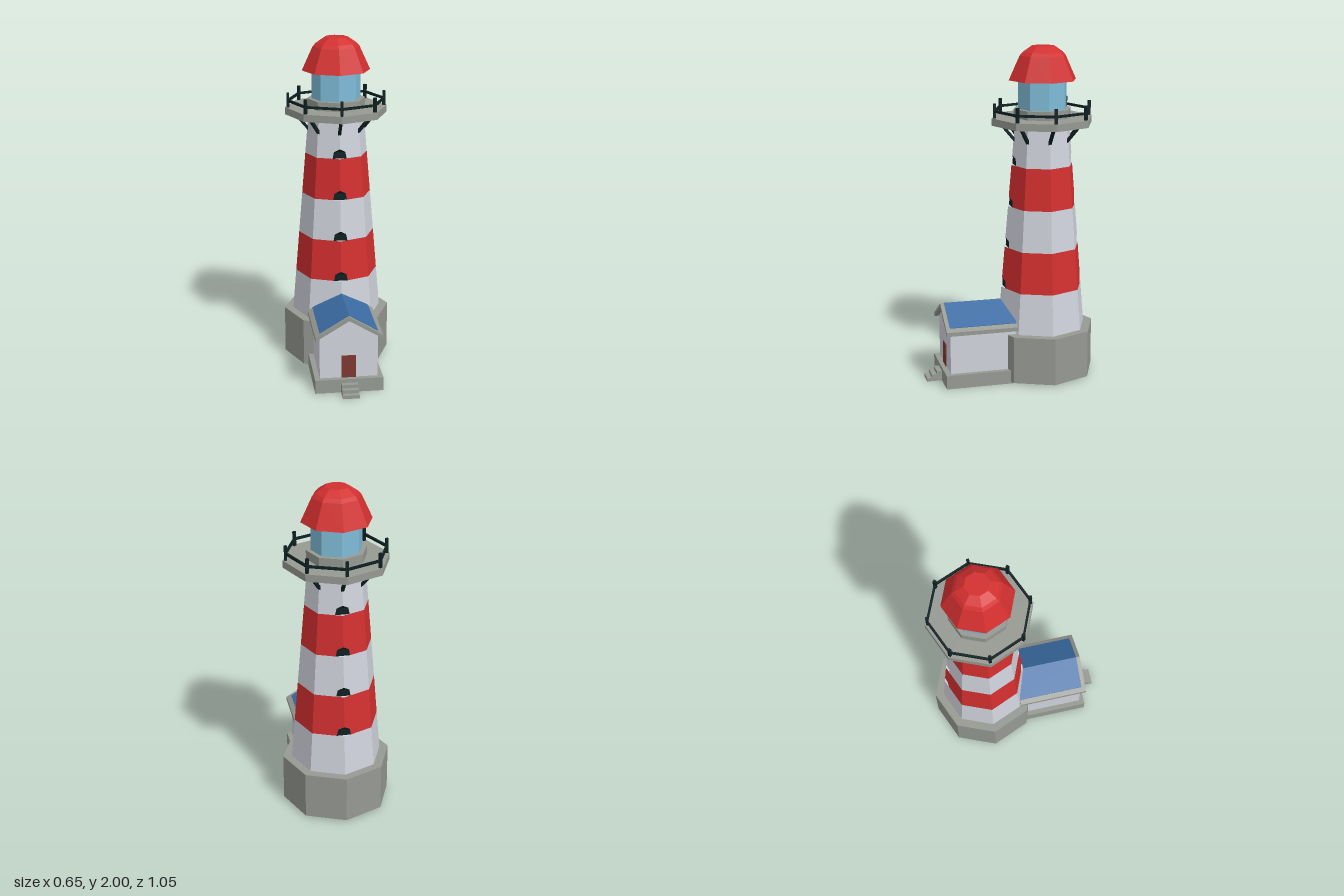
import * as THREE from 'three';

const mat = (name, color) => {
  const m = new THREE.MeshStandardMaterial({ color, flatShading: true });
  m.name = name;
  return m;
};

export function createModel() {
  const white = mat('whitewash', 0xd0d3dc), red = mat('red paint', 0xd32f2f);
  const stone = mat('grey stone', 0x969a93), iron = mat('dark iron', 0x0f2022);
  const glass = mat('lantern glass', 0x7fbcd8), blue = mat('blue roof', 0x3b6ca3);
  const doorPaint = mat('door paint', 0x7c3930);

  const model = new THREE.Group();
  const add = (name, geometry, material, x = 0, y = 0, z = 0, parent = model) => {
    const mesh = new THREE.Mesh(geometry, material);
    mesh.name = name;
    mesh.position.set(x, y, z);
    parent.add(mesh);
    return mesh;
  };
  // box given by its limits
  const block = (name, material, w, y0, y1, z0, z1) =>
    add(name, new THREE.BoxGeometry(w, y1 - y0, z1 - z0), material, 0, (y0 + y1) / 2, (z0 + z1) / 2);

  // everything round stands on the tower axis
  const lighthouse = new THREE.Group();
  lighthouse.name = 'lighthouse';
  lighthouse.position.z = -0.2;
  model.add(lighthouse);
  const octagon = (name, material, r0, r1, y0, y1) =>
    add(name, new THREE.CylinderGeometry(r1, r0, y1 - y0, 8), material, 0, (y0 + y1) / 2, 0, lighthouse);

  octagon('plinth', stone, 0.325, 0.325, 0.012, 0.3);

  // tower shaft: octagonal rings whose front and back corners are cut at the windows
  const T = Math.tan(Math.PI / 8);
  const radius = y => 0.272 - (y - 0.3) * 0.084;
  const ring = ({ y, w }) => {
    const r = radius(y), c = r * Math.SQRT1_2, z = r - w * T;
    return [[w, z], [c, c], [r, 0], [c, -c], [w, -z], [-w, -z], [-c, -c], [-r, 0], [-c, c], [-w, z]]
      .map(([x, zz]) => new THREE.Vector3(x, y, zz));
  };
  const levels = [{ y: 0.3, w: 0 }];
  for (let i = 0; i < 4; i++) {
    const y = 0.55 + 0.25 * i;
    levels.push({ y, w: 0 }, { y, w: 0.042 }, { y: y + 0.04, w: 0.034 }, { y: y + 0.06, w: 0 });
  }
  levels.push({ y: 1.55, w: 0 });
  const shaft = { white: [], red: [], dark: [] };
  const triangle = (list, a, b, c) => {
    if (new THREE.Triangle(a, b, c).getArea() > 1e-7) list.push(...a.toArray(), ...b.toArray(), ...c.toArray());
  };
  for (let j = 0; j < levels.length - 1; j++) {
    const low = ring(levels[j]), high = ring(levels[j + 1]);
    const mid = (levels[j].y + levels[j + 1].y) / 2;
    const sill = levels[j].y === levels[j + 1].y;
    const band = Math.floor((mid - 0.3) / 0.25 + 1e-6) % 2 === 1 && mid < 1.3 ? 'red' : 'white';
    for (let i = 0; i < 10; i++) {
      const k = (i + 1) % 10;
      const list = shaft[sill ? 'white' : i === 4 || i === 9 ? 'dark' : band];
      triangle(list, low[i], low[k], high[k]);
      triangle(list, low[i], high[k], high[i]);
    }
  }
  const shaftMesh = (name, list, material) => {
    const g = new THREE.BufferGeometry();
    g.setAttribute('position', new THREE.Float32BufferAttribute(list, 3));
    g.computeVertexNormals();
    add(name, g, material, 0, 0, 0, lighthouse);
  };
  shaftMesh('whiteBands', shaft.white, white);
  shaftMesh('redBands', shaft.red, red);
  shaftMesh('towerWindows', shaft.dark, iron);

  // gallery deck with posts, rails and struts
  octagon('galleryDeck', stone, 0.307, 0.307, 1.54, 1.583);
  for (let i = 0; i < 8; i++) {
    const bay = new THREE.Group();
    bay.name = 'galleryBay';
    bay.rotation.y = i * Math.PI / 4;
    lighthouse.add(bay);
    add('railPost', new THREE.BoxGeometry(0.016, 0.09, 0.016), iron, 0, 1.625, 0.29, bay);
    const strut = add('strut', new THREE.BoxGeometry(0.017, 0.135, 0.017), iron, 0, 1.495, 0.207, bay);
    strut.rotation.x = 0.7;
    const side = new THREE.Group();
    side.name = 'railSide';
    side.rotation.y = Math.PI / 8;
    bay.add(side);
    add('rail', new THREE.BoxGeometry(0.58 * Math.sin(Math.PI / 8), 0.014, 0.012), iron,
      0, 1.624, 0.29 * Math.cos(Math.PI / 8), side);
  }

  // lantern room and dome
  octagon('lanternBase', stone, 0.175, 0.175, 1.58, 1.635);
  octagon('lanternGlass', glass, 0.148, 0.148, 1.63, 1.81);
  const dome = [[0, 1.803], [0.205, 1.803], [0.14, 1.945], [0.122, 1.965], [0.07, 2], [0, 2]]
    .map(([r, y]) => new THREE.Vector2(r, y));
  add('dome', new THREE.LatheGeometry(dome, 8), red, 0, 0, 0, lighthouse);

  // house foundation and steps
  block('foundation', stone, 0.404, 0, 0.083, -0.16, 0.434);
  for (let i = 0; i < 3; i++) block('step', stone, 0.098, 0, 0.02 * (i + 1), 0.42, 0.525 - 0.03 * i);

  // house walls with gable
  const extrude = (points, z0, z1) => {
    const shape = new THREE.Shape(points.map(([x, y]) => new THREE.Vector2(x, y)));
    return new THREE.ExtrudeGeometry(shape, { depth: z1 - z0, bevelEnabled: false }).translate(0, 0, z0);
  };
  add('houseWalls', extrude([[-0.172, 0.08], [0.172, 0.08], [0.172, 0.35], [0, 0.455], [-0.172, 0.35]], 0, 0.403), white);
  block('door', doorPaint, 0.086, 0.083, 0.222, 0.4, 0.408);

  // pitched roof slab and its blue covering
  const pitch = (half, peak, thick, z0, z1) => {
    const eave = peak - half * 0.6;
    return extrude([[-half, eave - thick], [0, peak - thick], [half, eave - thick], [half, eave], [0, peak], [-half, eave]], z0, z1);
  };
  add('roofSlab', pitch(0.2, 0.472, 0.024, 0, 0.43), stone);
  add('roofCovering', pitch(0.172, 0.475, 0.006, 0.001, 0.406), blue);

  return model;
}
